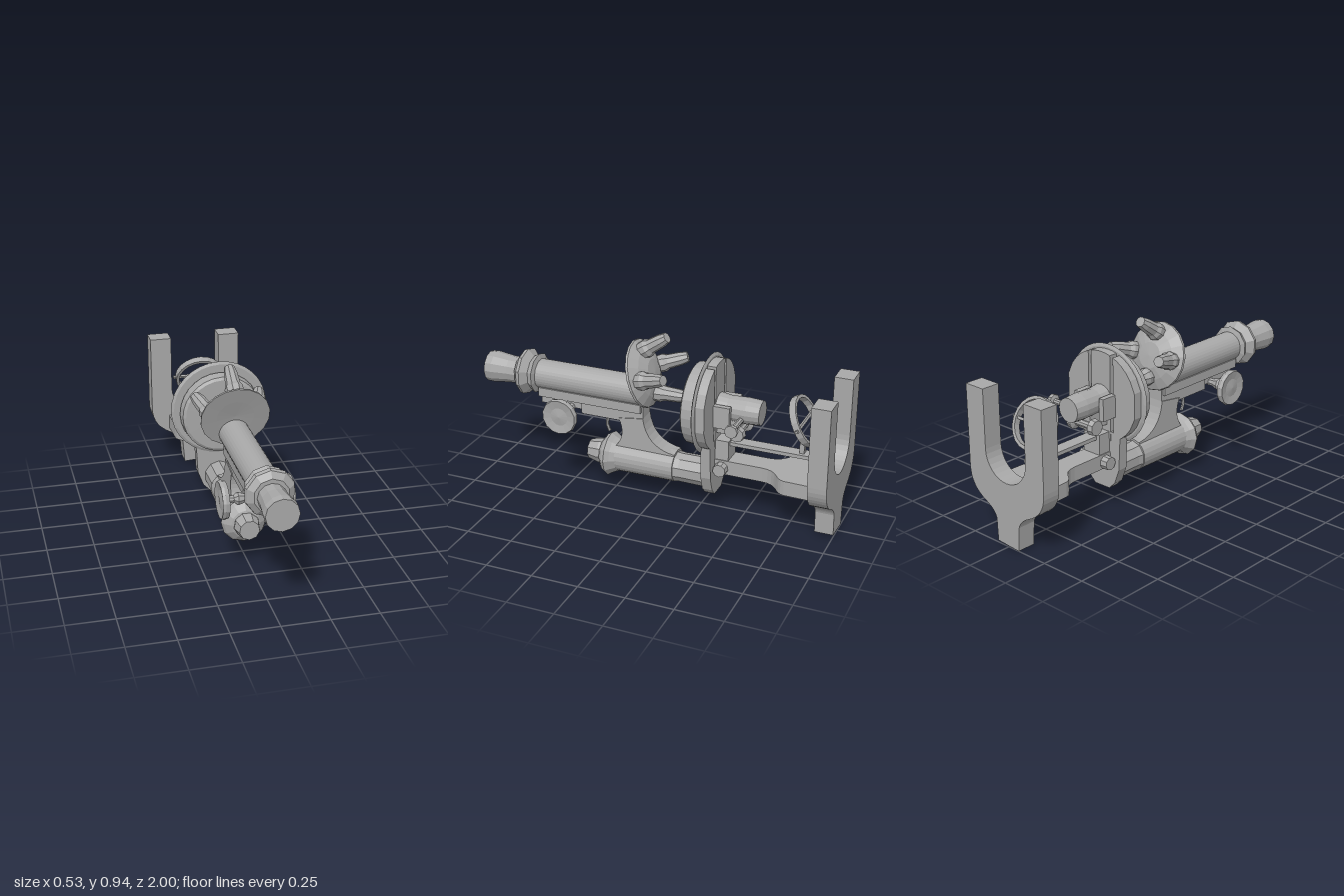
import * as THREE from 'three';

export function createModel() {
  const model = new THREE.Group();
  model.name = 'microscope';
  const metal = new THREE.MeshStandardMaterial({ color: 0xa8a8a8 });
  metal.name = 'grey metal';
  metal.flatShading = true;
  metal.side = THREE.DoubleSide;

  const add = (name, geo, x = 0, y = 0, z = 0, parent = model) => {
    const m = new THREE.Mesh(geo, metal);
    m.name = name;
    m.position.set(x, y, z);
    parent.add(m);
    return m;
  };
  const box = (name, w, h, d, x, y, z) => add(name, new THREE.BoxGeometry(w, h, d), x, y, z);
  // turned part along z; profile is [radius, z] with z rising
  const turned = (profile, sides) =>
    new THREE.LatheGeometry(profile.map(([r, z]) => new THREE.Vector2(r, z)), sides).rotateX(Math.PI / 2);
  // turned part along x
  const turnedX = (profile, sides) => turned(profile, sides).rotateY(Math.PI / 2);
  const shapeOf = (pts) => new THREE.Shape(pts.map(([a, b]) => new THREE.Vector2(a, b)));
  const extrude = (shape, depth) =>
    new THREE.ExtrudeGeometry(shape, { depth, bevelEnabled: false, curveSegments: 8 });
  // side outline given as (z, y), extruded across x
  const sideSlab = (shape, width) =>
    extrude(shape, width).translate(0, 0, -width / 2).rotateY(-Math.PI / 2);

  // Forked base plate
  const fork = new THREE.Shape();
  fork.moveTo(-0.07, 0);
  fork.lineTo(0.075, 0.01);
  fork.lineTo(0.08, 0.13);
  fork.quadraticCurveTo(0.09, 0.17, 0.15, 0.2);
  fork.quadraticCurveTo(0.26, 0.25, 0.26, 0.36);
  fork.lineTo(0.26, 0.79);
  fork.lineTo(0.14, 0.79);
  fork.lineTo(0.14, 0.48);
  fork.absarc(0, 0.48, 0.14, 0, -Math.PI, true);
  fork.lineTo(-0.14, 0.79);
  fork.lineTo(-0.26, 0.79);
  fork.lineTo(-0.26, 0.36);
  fork.quadraticCurveTo(-0.26, 0.25, -0.15, 0.2);
  fork.quadraticCurveTo(-0.09, 0.17, -0.08, 0.13);
  add('forkedBase', extrude(fork, 0.1), 0, 0, -1);

  // Bracket joining the base to the stage, drawn in plan
  const bracket = new THREE.Shape();
  bracket.moveTo(-0.16, -0.91);
  bracket.lineTo(0.16, -0.91);
  bracket.lineTo(0.155, -0.75);
  bracket.bezierCurveTo(0.15, -0.69, 0.06, -0.7, 0.06, -0.6);
  bracket.lineTo(0.06, -0.33);
  bracket.lineTo(-0.06, -0.33);
  bracket.lineTo(-0.06, -0.6);
  bracket.bezierCurveTo(-0.06, -0.7, -0.15, -0.69, -0.155, -0.75);
  add('baseBracket', extrude(bracket, 0.08).rotateX(Math.PI / 2), 0, 0.31, 0);
  add('hingePin', turnedX([[0, -0.1], [0.035, -0.1], [0.04, 0], [0.035, 0.1], [0, 0.1]], 9), 0, 0.265, -0.38);
  box('hingeBlock', 0.11, 0.12, 0.08, 0, 0.36, -0.375);

  // Mirror on its rail
  box('mirrorRail', 0.07, 0.02, 0.51, 0, 0.4, -0.595);
  box('mirrorPost', 0.03, 0.09, 0.025, 0, 0.45, -0.795);
  const mirror = new THREE.Group();
  mirror.name = 'mirror';
  mirror.position.set(0, 0.59, -0.8);
  mirror.rotation.x = 0.46;
  model.add(mirror);
  add('mirrorRing', turned([[0.118, -0.018], [0.135, -0.018], [0.135, 0.018], [0.118, 0.018], [0.118, -0.018]], 20),
    0, 0, 0, mirror);
  add('mirrorBar', new THREE.BoxGeometry(0.3, 0.014, 0.014), 0, 0, 0, mirror);

  // Round stage with its backing plates
  add('stageDisc', turned([[0, -0.28], [0.215, -0.28], [0.22, -0.265], [0.215, -0.21], [0.2, -0.2], [0, -0.195]], 28), 0, 0.59, 0);
  add('stageRim', turned([[0, -0.295], [0.25, -0.295], [0.265, -0.287], [0.25, -0.279], [0, -0.279]], 32), 0, 0.6, 0);
  for (const [a, b] of [[-0.23, -0.085], [-0.065, 0.065], [0.085, 0.23]]) {
    const pts = [];
    for (let i = 0; i <= 5; i++) {
      const x = a + ((b - a) * i) / 5;
      pts.push([x, Math.sqrt(0.24 * 0.24 - x * x)]);
    }
    const lower = pts.map(([x, y]) => [x, -y]).reverse();
    add('stageBackPlate', extrude(shapeOf([...pts, ...lower]), 0.05), 0, 0.6, -0.343);
  }
  add('stageFoot', extrude(shapeOf([
    [-0.05, 0.1], [0.05, 0.1], [0.09, 0.14], [0.12, 0.22], [0.13, 0.42], [-0.13, 0.42], [-0.12, 0.22], [-0.09, 0.14],
  ]), 0.055), 0, 0, -0.342);

  // Condenser behind the stage
  add('condenser', turned([[0, -0.575], [0.065, -0.575], [0.07, -0.5], [0.066, -0.4], [0.075, -0.34], [0, -0.34]], 16), 0, 0.59, 0);
  box('condenserSlide', 0.08, 0.09, 0.13, 0, 0.5, -0.4);
  for (const s of [-1, 1]) box('stageClip', 0.03, 0.12, 0.09, s * 0.085, 0.57, -0.385);
  add('condenserKnob', turnedX([[0, -0.09], [0.04, -0.09], [0.045, -0.06], [0.02, -0.05], [0.02, 0.05], [0.045, 0.06], [0.04, 0.09], [0, 0.09]], 9), 0, 0.485, -0.465);
  add('irisLever', turnedX([[0, 0.05], [0.015, 0.05], [0.015, 0.19], [0.035, 0.195], [0.035, 0.215], [0, 0.215]], 8), 0, 0.56, -0.48);

  // Observation tube and eyepiece
  add('bodyTube', turned([[0, 0.06], [0.08, 0.06], [0.08, 0.72], [0, 0.72]], 32), 0, 0.6, 0);
  add('tubeCollar', turned([[0.08, 0.69], [0.11, 0.7], [0.092, 0.73], [0.128, 0.765], [0.122, 0.785], [0.09, 0.81], [0, 0.81]], 10), 0, 0.6, 0);
  add('eyepiece', turned([[0.072, 0.8], [0.074, 0.87], [0.086, 0.96], [0.084, 1], [0, 1]], 12), 0, 0.595, 0);

  // Tilted turret: four splayed lenses on a shallow dish
  const turret = new THREE.Group();
  turret.name = 'lensTurret';
  turret.position.set(0, 0.7, 0.09);
  turret.rotation.x = 0.3;
  model.add(turret);
  add('turretDish', turned([[0, -0.075], [0.07, -0.07], [0.13, -0.045], [0.182, -0.01], [0.184, 0.002], [0.1, 0], [0, -0.005]], 18),
    0, 0, 0, turret);
  const lens = [[0, -0.19], [0.028, -0.19], [0.036, -0.15], [0.04, -0.08], [0.05, -0.06], [0.045, 0], [0, 0]];
  for (let i = 0; i < 4; i++) {
    const arm = new THREE.Group();
    arm.name = 'lensMount';
    arm.rotation.z = (i * Math.PI) / 2;
    turret.add(arm);
    const low = i === 2;
    const m = add('lens', turned(lens, 9), 0, low ? 0.1 : 0.115, low ? -0.01 : -0.015, arm);
    m.rotation.x = 0.3;
    if (low) m.scale.z = 1.12;
  }

  // Focus rail, shaft and hand wheels
  box('focusRail', 0.09, 0.1, 0.36, 0, 0.475, 0.25);
  box('focusRailTop', 0.12, 0.05, 0.6, 0, 0.515, 0.38);
  box('rackEnd', 0.05, 0.05, 0.26, 0, 0.465, 0.55);
  add('focusShaft', turnedX([[0.022, -0.16], [0.018, -0.11], [0.035, -0.09], [0.022, -0.05], [0.022, 0.05], [0.035, 0.09], [0.018, 0.11], [0.022, 0.16]], 8), 0, 0.445, 0.5);
  for (const s of [-1, 1]) {
    const wheel = add('focusWheel', turnedX([[0, -0.015], [0.06, -0.01], [0.095, -0.02], [0.1, 0], [0.095, 0.016], [0.05, 0.008], [0, 0.015]], 14), s * 0.168, 0.447, 0.5);
    if (s < 0) wheel.rotation.y = Math.PI;
  }
  const hook = new THREE.CatmullRomCurve3(
    [[0.29, 0.44], [0.295, 0.4], [0.3, 0.37], [0.285, 0.33]].map(([z, y]) => new THREE.Vector3(0, y, z)));
  add('stopHook', new THREE.TubeGeometry(hook, 6, 0.009, 6));

  // Curved limb between the rail and the lower barrel
  const limb = new THREE.Shape();
  limb.moveTo(0.24, 0.26);
  limb.quadraticCurveTo(0.16, 0.34, 0.21, 0.44);
  limb.lineTo(0.07, 0.46);
  limb.quadraticCurveTo(0.05, 0.3, -0.11, 0.28);
  limb.lineTo(-0.11, 0.24);
  add('limb', sideSlab(limb, 0.1));

  // Lower barrel, flange and end cap
  add('lowerBarrel', turned([[0, -0.11], [0.088, -0.11], [0.09, 0.24], [0, 0.24]], 24), 0, 0.2, 0);
  add('barrelFlange', turned([[0.09, 0.22], [0.105, 0.25], [0.122, 0.275], [0.11, 0.295], [0.078, 0.32], [0.05, 0.33], [0, 0.33]], 12), 0, 0.197, 0);
  add('barrelCap', turned([[0.06, 0.3], [0.068, 0.34], [0.054, 0.4], [0, 0.4]], 9), 0, 0.2, 0);
  add('barrelMount', turned([[0, -0.29], [0.082, -0.29], [0.08, -0.14], [0.085, -0.1], [0, -0.1]], 10), 0, 0.195, 0);

  return model;
}
